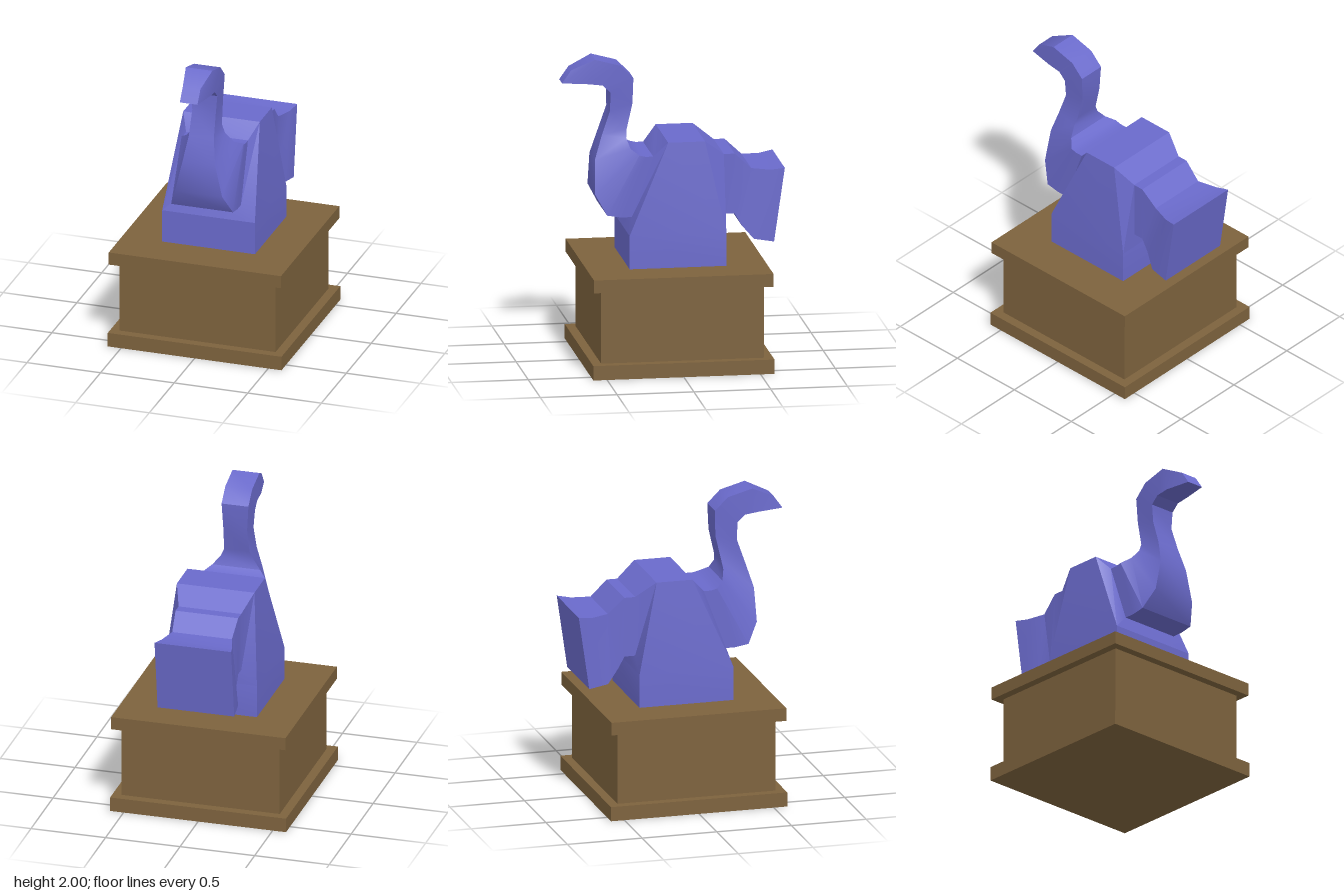
import * as THREE from 'three';
import { toCreasedNormals } from 'three/addons/utils/BufferGeometryUtils.js';

const blue = new THREE.MeshStandardMaterial({ color: 0x6a6acb });
const brown = new THREE.MeshStandardMaterial({ color: 0x7d623d });

// Skin a row of four-cornered rings and cap both ends.
function loft(rings, crease = 0.6) {
  const pos = [];
  const quad = (a, b, c, d) => pos.push(...a, ...b, ...c, ...a, ...c, ...d);
  for (let k = 0; k < rings.length - 1; k++) {
    const r = rings[k], n = rings[k + 1];
    for (let i = 0; i < 4; i++) {
      const j = (i + 1) % 4;
      quad(r[i], n[i], n[j], r[j]);
    }
  }
  quad(...rings[0]);
  quad(...[...rings[rings.length - 1]].reverse());
  const g = new THREE.BufferGeometry();
  g.setAttribute('position', new THREE.Float32BufferAttribute(pos, 3));
  return toCreasedNormals(g, crease);
}

// Mirrored ring from an upper edge and a lower edge, given as z, y and half width.
const ring = (z1, y1, x1, z2, y2, x2 = x1) =>
  [[-x1, y1, z1], [x1, y1, z1], [x2, y2, z2], [-x2, y2, z2]];

export function createModel() {
  const model = new THREE.Group();
  const add = (name, geometry, material) => {
    const mesh = new THREE.Mesh(geometry, material);
    mesh.name = name;
    model.add(mesh);
  };

  // Pedestal: foot, block and top slab
  const slab = (name, half, y0, y1) => {
    const g = new THREE.BoxGeometry(half * 2, y1 - y0, half * 2);
    add(name, g.translate(0, (y0 + y1) / 2, 0), brown);
  };
  slab('pedestalFoot', 0.59, 0, 0.095);
  slab('pedestalBlock', 0.53, 0.095, 0.575);
  slab('pedestalTop', 0.585, 0.575, 0.66);

  // Tapered body, from the pedestal up
  add('body', loft([
    ring(-0.32, 0.66, 0.315, 0.31, 0.66),
    ring(-0.32, 0.88, 0.315, 0.31, 0.88),
    ring(-0.19, 1.475, 0.26, 0.05, 1.475),
  ], 0.3), blue);

  // Chest, curved neck and beaked head
  add('neckAndHead', loft([
    ring(0.05, 1.475, 0.26, 0.31, 0.88, 0.315),
    ring(0.14, 1.375, 0.21, 0.28, 0.98),
    ring(0.19, 1.375, 0.21, 0.35, 0.98),
    ring(0.23, 1.385, 0.21, 0.44, 0.995),
    ring(0.28, 1.42, 0.16, 0.51, 1.125),
    ring(0.30, 1.48, 0.11, 0.505, 1.34),
    ring(0.293, 1.535, 0.085, 0.455, 1.50),
    ring(0.255, 1.70, 0.08, 0.40, 1.66),
    ring(0.25, 1.87, 0.09, 0.40, 1.78),
    ring(0.335, 1.955, 0.09, 0.45, 1.828),
    ring(0.50, 2.0, 0.09, 0.54, 1.84),
    ring(0.65, 1.93, 0.06, 0.71, 1.845),
  ]), blue);

  // Flared tail, running backwards
  add('tail', loft([
    ring(-0.19, 1.475, 0.26, -0.32, 0.88, 0.315),
    ring(-0.32, 1.375, 0.21, -0.32, 0.98),
    ring(-0.39, 1.375, 0.21, -0.39, 0.98),
    ring(-0.50, 1.273, 0.2, -0.435, 0.90, 0.21),
    ring(-0.62, 1.266, 0.237, -0.51, 0.815, 0.245),
    ring(-0.71, 1.28, 0.257, -0.64, 0.795),
  ].map((r) => r.reverse()), 0.4), blue);

  return model;
}
